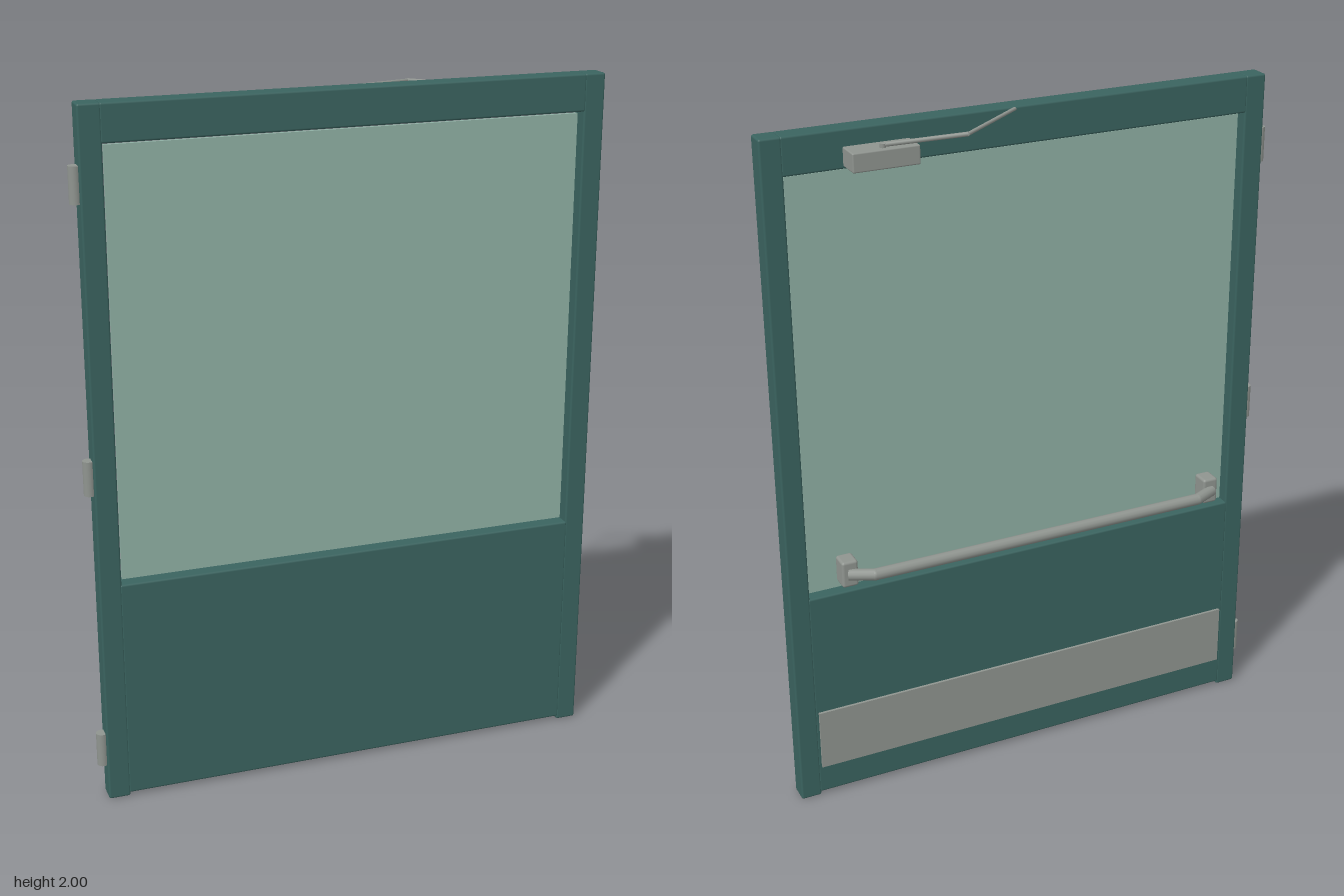
import * as THREE from 'three';
import { RoundedBoxGeometry } from 'three/addons/geometries/RoundedBoxGeometry.js';

const paint = new THREE.MeshStandardMaterial({ color: 0x3a635f });
const glass = new THREE.MeshStandardMaterial({ color: 0x8fb0a4 });
const metal = new THREE.MeshStandardMaterial({ color: 0x8f948f });

export function createModel() {
  const door = new THREE.Group();
  door.name = 'door';

  const add = (name, geometry, material) => {
    const mesh = new THREE.Mesh(geometry, material);
    mesh.name = name;
    door.add(mesh);
    return mesh;
  };

  // Box given by its limits on each axis, with an optional soft edge
  const slab = (name, material, [x0, x1], [y0, y1], [z0, z1], edge = 0) => {
    const size = [x1 - x0, y1 - y0, z1 - z0];
    const geometry = edge
      ? new RoundedBoxGeometry(...size, 2, edge)
      : new THREE.BoxGeometry(...size);
    add(name, geometry, material)
      .position.set((x0 + x1) / 2, (y0 + y1) / 2, (z0 + z1) / 2);
  };

  // Round rod between two points
  const rod = (name, a, b, radius) => {
    const path = new THREE.LineCurve3(new THREE.Vector3(...a), new THREE.Vector3(...b));
    const mesh = add(name, new THREE.CylinderGeometry(radius, radius, path.getLength(), 12), metal);
    mesh.position.copy(path.getPoint(0.5));
    mesh.quaternion.setFromUnitVectors(new THREE.Vector3(0, 1, 0), path.getTangent(0));
  };

  // Door leaf: stiles, top rail, solid lower panel
  const depth = [0.03, 0.09];
  slab('rightStile', paint, [-0.73, -0.667], [0, 2], depth, 0.006);
  slab('leftStile', paint, [0.689, 0.75], [0, 2], depth, 0.006);
  slab('topRail', paint, [-0.672, 0.694], [1.895, 2], depth, 0.006);
  slab('lowerPanel', paint, [-0.672, 0.694], [0.01, 0.666], depth, 0.006);

  // Window pane, held with a narrow gap all round
  slab('windowPane', glass, [-0.66, 0.682], [0.673, 1.888], [0.055, 0.065]);

  // Kick plate on the back
  slab('kickPlate', metal, [-0.66, 0.684], [0.1, 0.287], [0.022, 0.031]);

  // Push bar with two mounts and bent ends
  for (const x of [-0.577, 0.584]) {
    slab('pushBarMount', metal, [x - 0.024, x + 0.024], [0.71, 0.79], [-0.025, 0.031], 0.008);
  }
  const barPath = new THREE.CurvePath();
  const points = [[-0.582, -0.022], [-0.515, -0.053], [0.522, -0.053], [0.589, -0.022]]
    .map(([x, z]) => new THREE.Vector3(x, 0.75, z));
  for (let i = 0; i < 3; i++) {
    rod('pushBar', points[i].toArray(), points[i + 1].toArray(), 0.017);
  }
  for (const p of points.slice(1, 3)) {
    add('pushBarElbow', new THREE.SphereGeometry(0.017, 12, 8), metal).position.copy(p);
  }

  // Door closer: housing and folding arm
  slab('closerHousing', metal, [0.345, 0.53], [1.903, 1.955], [-0.042, 0.031], 0.004);
  const pivot = [0.44, 1.962, -0.022], elbow = [0.232, 1.98, -0.086], anchor = [0.045, 1.994, 0.031];
  rod('closerArm', pivot, elbow, 0.006);
  rod('closerArm', elbow, anchor, 0.005);
  rod('closerPivot', [0.44, 1.95, -0.022], [0.44, 1.966, -0.022], 0.008);

  // Hinge barrels on the right edge
  for (const y of [0.155, 0.985, 1.79]) {
    add('hinge', new THREE.CylinderGeometry(0.017, 0.017, 0.1, 16), metal)
      .position.set(-0.738, y, 0.063);
  }

  return door;
}
